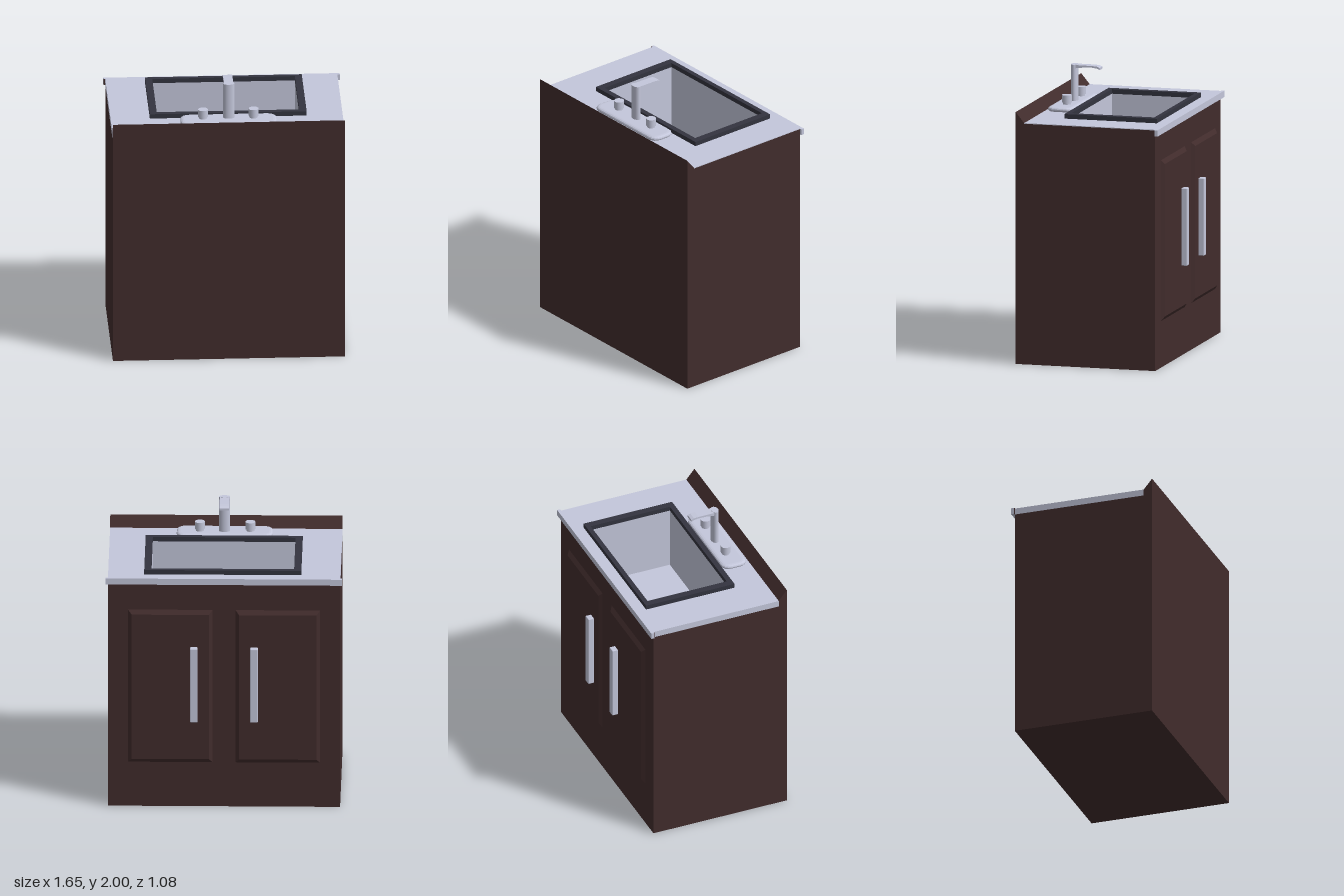
import * as THREE from 'three';
import { RoundedBoxGeometry } from 'three/addons/geometries/RoundedBoxGeometry.js';

const mat = (name, color) => Object.assign(new THREE.MeshStandardMaterial({ color }), { name });

export function createModel() {
  const wood = mat('dark wood', 0x412c2c);
  const steel = mat('pale steel', 0xc4c7db);
  const dark = mat('dark rim', 0x33343f);
  const model = new THREE.Group();
  model.name = 'washbasinCabinet';

  const add = (name, geo, material, parent = model) => {
    const mesh = new THREE.Mesh(geo, material);
    mesh.name = name;
    parent.add(mesh);
    return mesh;
  };
  // Box given by its limits on each axis
  const box = (name, material, x0, x1, y0, y1, z0, z1) => {
    const mesh = add(name, new THREE.BoxGeometry(x1 - x0, y1 - y0, z1 - z0), material);
    mesh.position.set((x0 + x1) / 2, (y0 + y1) / 2, (z0 + z1) / 2);
    return mesh;
  };
  // Anticlockwise rectangle, so that the walls of holes face inwards
  const rectPath = (P, [x0, x1, z0, z1]) => new P([[x0, -z1], [x1, -z1], [x1, -z0], [x0, -z0]]
    .map(p => new THREE.Vector2(...p)));
  // Flat rectangular ring lying between two heights
  const ring = (name, material, outer, inner, y0, y1) => {
    const shape = rectPath(THREE.Shape, outer);
    shape.holes.push(rectPath(THREE.Path, inner));
    const geo = new THREE.ExtrudeGeometry(shape, { depth: y1 - y0, bevelEnabled: false });
    geo.rotateX(-Math.PI / 2).translate(0, y0, 0);
    return add(name, geo, material);
  };
  // Side profile of [z, y] points swept across x
  const sweep = (name, material, pts, x0, x1, parent) => {
    const shape = new THREE.Shape(pts.map(([z, y]) => new THREE.Vector2(-z, y)));
    const geo = new THREE.ExtrudeGeometry(shape, { depth: x1 - x0, bevelEnabled: false });
    geo.rotateY(Math.PI / 2).translate(x0, 0, 0);
    return add(name, geo, material, parent);
  };

  // Cabinet shell
  const W = 0.81, top = 1.71;
  sweep('backPanelWithSplash', wood,
    [[0.54, 0], [0.54, 1.785], [0.478, top], [0.478, 1.69], [0.51, 1.66], [0.51, 0]], -W, W);
  box('leftSide', wood, W - 0.02, W, 0, 1.705, -0.475, 0.515);
  box('rightSide', wood, -W, -W + 0.02, 0, 1.705, -0.475, 0.515);
  box('doorWall', wood, -W + 0.02, W - 0.02, 0, 1.705, -0.475, -0.455);
  box('floor', wood, -W + 0.02, W - 0.02, 0, 0.02, -0.455, 0.51);

  // Worktop with its edges
  const opening = [-0.488, 0.508, -0.38, 0.222];
  ring('worktop', steel, [-W, W, -0.475, 0.48], opening, 1.705, top);
  box('worktopLip', steel, -0.825, 0.827, 1.665, top, -0.497, -0.475);
  box('worktopSideEdge', steel, -W - 0.002, -W, 1.665, top, -0.475, 0.478);
  box('lipEndBacking', wood, -0.825, -W - 0.002, 1.665, 1.708, -0.475, -0.471);

  // Basin and its rim
  ring('basinRim', dark, [-0.538, 0.558, -0.413, 0.26], opening, top, 1.742);
  ring('basinWalls', steel, [-0.508, 0.528, -0.4, 0.242], opening, 1.25, 1.705);
  box('basinFloor', steel, -0.508, 0.528, 1.23, 1.25, -0.4, 0.242);

  // Raised door panels with bevelled borders, and pull handles
  for (const side of [1, -1]) {
    const geo = new THREE.BoxGeometry(0.59, 1.14, 0.022);
    const p = geo.attributes.position;
    for (let i = 0; i < p.count; i++) {
      if (p.getZ(i) < 0) {
        p.setX(i, p.getX(i) - Math.sign(p.getX(i)) * 0.025);
        p.setY(i, p.getY(i) - Math.sign(p.getY(i)) * 0.03);
      }
    }
    geo.computeVertexNormals();
    const label = side > 0 ? 'left' : 'right';
    add(label + 'Door', geo, wood).position.set(side * 0.375, 0.9, -0.486);
    add(label + 'DoorHandle', new RoundedBoxGeometry(0.054, 0.55, 0.044, 2, 0.006), steel)
      .position.set(side * 0.21, 0.925, -0.517);
  }

  // Tap set
  const tap = new THREE.Group();
  tap.name = 'tap';
  tap.position.x = 0.004;
  model.add(tap);
  const plate = new THREE.Shape();
  const hx = 0.31, hz = 0.068, r = 0.04;
  plate.moveTo(-hx + r, -hz);
  plate.lineTo(hx - r, -hz).quadraticCurveTo(hx, -hz, hx, -hz + r);
  plate.lineTo(hx, hz - r).quadraticCurveTo(hx, hz, hx - r, hz);
  plate.lineTo(-hx + r, hz).quadraticCurveTo(-hx, hz, -hx, hz - r);
  plate.lineTo(-hx, -hz + r).quadraticCurveTo(-hx, -hz, -hx + r, -hz);
  const plateGeo = new THREE.ExtrudeGeometry(plate, {
    depth: 0.006, bevelThickness: 0.014, bevelSize: 0.026, bevelSegments: 3, curveSegments: 4,
  });
  plateGeo.rotateX(-Math.PI / 2).translate(0.003, 1.724, 0.362);
  add('tapPlate', plateGeo, steel, tap);

  for (const x of [-0.175, 0.178]) {
    add('knobStem', new THREE.CylinderGeometry(0.028, 0.028, 0.02, 16), steel, tap)
      .position.set(x, 1.75, 0.352);
    add('knob', new THREE.CylinderGeometry(0.035, 0.035, 0.053, 16), steel, tap)
      .position.set(x, 1.784, 0.352);
  }

  const column = add('tapColumn', new THREE.CylinderGeometry(1, 1, 0.26, 24), steel, tap);
  column.scale.set(0.039, 1, 0.026);
  column.position.set(0.005, 1.87, 0.346);
  sweep('spout', steel, [[0.345, 1.998], [0.28, 1.997], [0.21, 1.997], [0.175, 1.994],
    [0.155, 1.986], [0.155, 1.97], [0.175, 1.98], [0.21, 1.985], [0.27, 1.983],
    [0.32, 1.976], [0.345, 1.974]], -0.028, 0.038, tap);

  return model;
}
